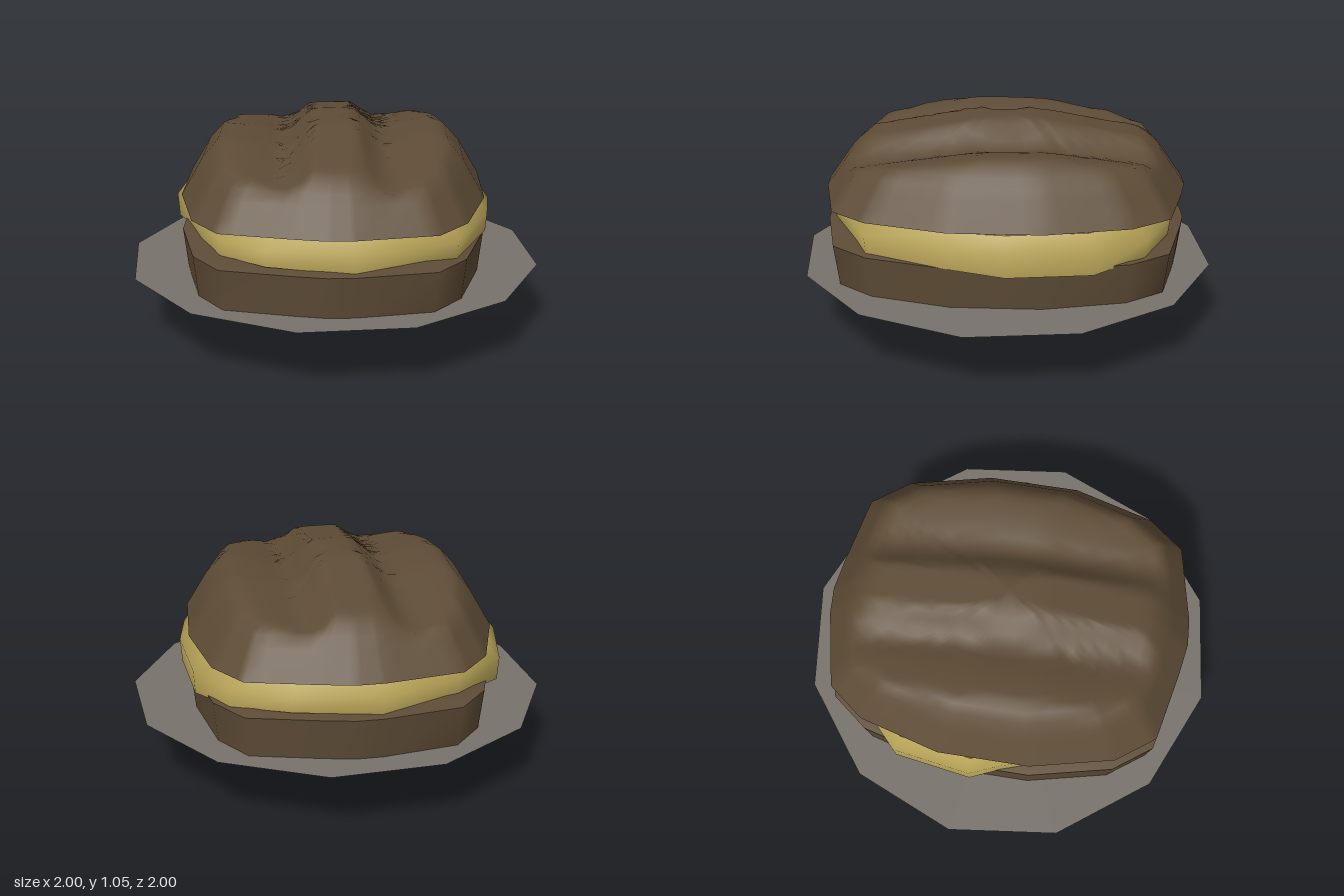
import * as THREE from 'three';
import { mergeGeometries } from 'three/addons/utils/BufferGeometryUtils.js';

const lerpTable = (x, table) => {
  for (let i = 1; i < table.length; i++) {
    const [x0, y0] = table[i - 1], [x1, y1] = table[i];
    if (x <= x1) return y0 + (y1 - y0) * (x - x0) / (x1 - x0);
  }
  return table[table.length - 1][1];
};

// Skin a list of rings running from the bottom, round the outside, to the top.
function loft(rings) {
  const n = rings[0].length, index = [];
  for (let r = 0; r < rings.length - 1; r++) {
    for (let i = 0; i < n; i++) {
      const a = r * n + i, b = r * n + (i + 1) % n;
      index.push(a, a + n, b, b, a + n, b + n);
    }
  }
  const g = new THREE.BufferGeometry();
  g.setAttribute('position', new THREE.Float32BufferAttribute(rings.flat(2), 3));
  g.setIndex(index);
  g.computeVertexNormals();
  return g;
}

// Scaled copy of an outline; height is a number or a rule of the outline index.
const ring = (outline, scale, height) => outline.map(([x, z], i) =>
  [x * scale, typeof height === 'number' ? height : height(x * scale, z * scale, i), z * scale]);

// Add evenly spaced points along each edge of an outline.
const subdivide = (outline, k) => outline.flatMap(([x, z], i) => {
  const [x1, z1] = outline[(i + 1) % outline.length];
  return Array.from({ length: k }, (_, j) => [x + (x1 - x) * j / k, z + (z1 - z) * j / k]);
});

export function createModel() {
  const bunBrown = new THREE.MeshStandardMaterial({ color: 0x5e4c36 });
  const fillingYellow = new THREE.MeshStandardMaterial({ color: 0xb8a458 });
  const plateGrey = new THREE.MeshStandardMaterial({ color: 0x78726b });
  bunBrown.name = 'bunBrown';
  fillingYellow.name = 'fillingYellow';
  plateGrey.name = 'plateGrey';

  const group = new THREE.Group();
  const add = (name, geometry, material) => {
    const mesh = new THREE.Mesh(geometry, material);
    mesh.name = name;
    group.add(mesh);
  };

  // Plate: flat twelve-sided top narrowing to a point
  const plate = new THREE.CylinderGeometry(1.033, 0, 0.32, 12, 1, false, 0.25);
  plate.translate(0, 0.16, 0);
  add('plate', plate, plateGrey);

  // Bun outline: half of it, repeated by a half turn
  const half = [[-0.38, -0.86], [0, -0.89], [0.13, -0.88], [0.28, -0.835], [0.61, -0.72],
    [0.72, -0.52], [0.76, -0.11], [0.70, 0.33], [0.54, 0.705]];
  const bun = [...half, ...half.map(([x, z]) => [-x, -z])];

  // Bottom bun: flared wall and a slightly raised top
  add('bottomBun', mergeGeometries([
    loft([ring(bun, 0, 0.325), ring(bun, 0.97, 0.325)]),
    loft([ring(bun, 0.97, 0.322), ring(bun, 1, 0.525)]),
    loft([ring(bun, 1, 0.525), ring(bun, 0.82, 0.548), ring(bun, 0, 0.548)]),
  ]), bunBrown);

  // Filling: thick slice whose wide sides droop over the bun [x, z, bottom]
  const slice = [[0, -0.86, 0.53], [0.4, -0.76, 0.54], [0.66, -0.6, 0.53], [0.78, -0.34, 0.5],
    [0.78, 0.07, 0.5], [0.72, 0.32, 0.525], [0.5, 0.71, 0.53], [0, 0.86, 0.525],
    [-0.4, 0.75, 0.54], [-0.6, 0.57, 0.54], [-0.68, 0.3, 0.53], [-0.74, -0.03, 0.515],
    [-0.78, -0.18, 0.5], [-0.67, -0.55, 0.5], [-0.4, -0.74, 0.53]];
  const droop = (x, z, i) => slice[i][2];
  add('filling', mergeGeometries([
    loft([ring(slice, 0, 0.53), ring(slice, 0.99, droop)]),
    loft([ring(slice, 0.99, droop), ring(slice, 1, 0.615), ring(slice, 0.93, 0.69)]),
    loft([ring(slice, 0.93, 0.69), ring(slice, 0, 0.69)]),
  ]), fillingYellow);

  // Top bun: domed, with three ridges running slightly askew from front to back
  const edge = [[0, 0.36], [0.65, 0.36], [0.76, 0.265], [0.86, 0.18], [1, 0]];
  const ridges = [[0, 0.35], [0.11, 0.35], [0.19, 0.265], [0.25, 0.23], [0.34, 0.26],
    [0.45, 0.28], [0.57, 0.285], [0.8, 0.25]];
  const length = [[0, 1], [0.15, 1], [0.6, 0.77], [0.9, 0.6]];
  const fine = subdivide(bun, 5);
  const dome = (t) => (x, z) => 0.7 + Math.min(lerpTable(t, edge),
    lerpTable(Math.abs(x + 0.09 * z), ridges) * lerpTable(Math.abs(z), length));
  const steps = [1, 0.95, 0.9, 0.86, 0.81, 0.76, 0.7, 0.65, 0.58, 0.5, 0.42, 0.34, 0.26, 0.18, 0.09, 0];
  add('topBun', mergeGeometries([
    loft([ring(fine, 0, 0.68), ring(fine, 0.85, 0.68), ring(fine, 1, 0.7)]),
    loft(steps.map((t) => ring(fine, t, dome(t)))),
  ]), bunBrown);

  return group;
}
